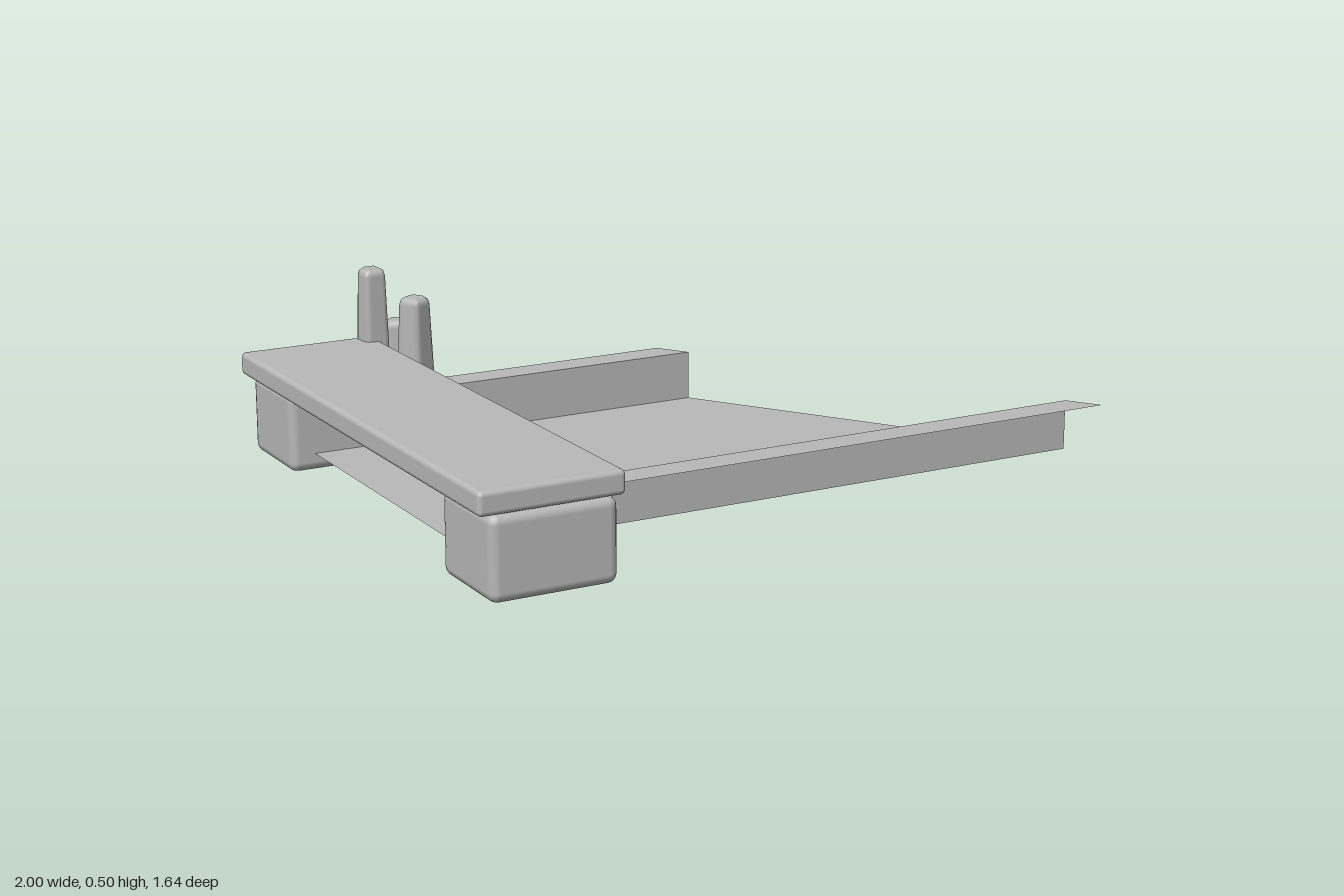
import * as THREE from 'three';
import { RoundedBoxGeometry } from 'three/addons/geometries/RoundedBoxGeometry.js';

export function createModel() {
  const group = new THREE.Group();
  const stone = new THREE.MeshStandardMaterial({ color: 0xb8b8b8, side: THREE.DoubleSide });
  stone.name = 'plain grey';

  const add = (name, geometry, x, y, z, turn = 0) => {
    const mesh = new THREE.Mesh(geometry, stone);
    mesh.name = name;
    mesh.position.set(x, y, z);
    mesh.rotation.y = turn;
    group.add(mesh);
  };

  // Long slab resting on two blocks
  add('slab', new RoundedBoxGeometry(0.4, 0.065, 1.56, 2, 0.014), -0.8, 0.2575, 0.04);
  for (const [name, z] of [['frontBlock', 0.68], ['backBlock', -0.59]]) {
    add(name, new RoundedBoxGeometry(0.35, 0.225, 0.28, 2, 0.026), -0.795, 0.1125, z);
  }

  // Thin channel: flange, wall, floor, wall, flange; the far end is cut at a slant
  const section = [[0.62, 0.19], [0.53, 0.19], [0.53, 0.05], [-0.46, 0.05], [-0.46, 0.19], [-0.55, 0.19]];
  const startX = -0.9;
  const endX = z => 0.24 + (z + 0.55) * 0.65;
  const positions = [];
  for (let i = 0; i < section.length - 1; i++) {
    const [z0, y0] = section[i], [z1, y1] = section[i + 1];
    const a = [startX, y0, z0], b = [endX(z0), y0, z0];
    const c = [endX(z1), y1, z1], d = [startX, y1, z1];
    positions.push(...a, ...b, ...c, ...a, ...c, ...d);
  }
  const channel = new THREE.BufferGeometry();
  channel.setAttribute('position', new THREE.Float32BufferAttribute(positions, 3));
  channel.computeVertexNormals();
  add('channel', channel, 0, 0, 0);

  // Tapered standing stones: width, bottom, top, x, z, turn
  const pillars = [
    ['tallPillar', 0.094, 0.01, 0.5, -0.61, -0.7, 0.08],
    ['middlePillar', 0.1, 0.015, 0.415, -0.505, -0.64, 0.5],
    ['shortPillar', 0.1, 0.01, 0.325, -0.505, -0.76, -0.45],
  ];
  for (const [name, width, bottom, top, x, z, turn] of pillars) {
    const height = top - bottom;
    const geometry = new RoundedBoxGeometry(width, height, width, 1, 0.024);
    const p = geometry.attributes.position;
    for (let i = 0; i < p.count; i++) {
      const k = 1 - 0.3 * (p.getY(i) / height + 0.5);
      p.setX(i, p.getX(i) * k);
      p.setZ(i, p.getZ(i) * k);
    }
    add(name, geometry, x, (bottom + top) / 2, z, turn);
  }
  return group;
}
